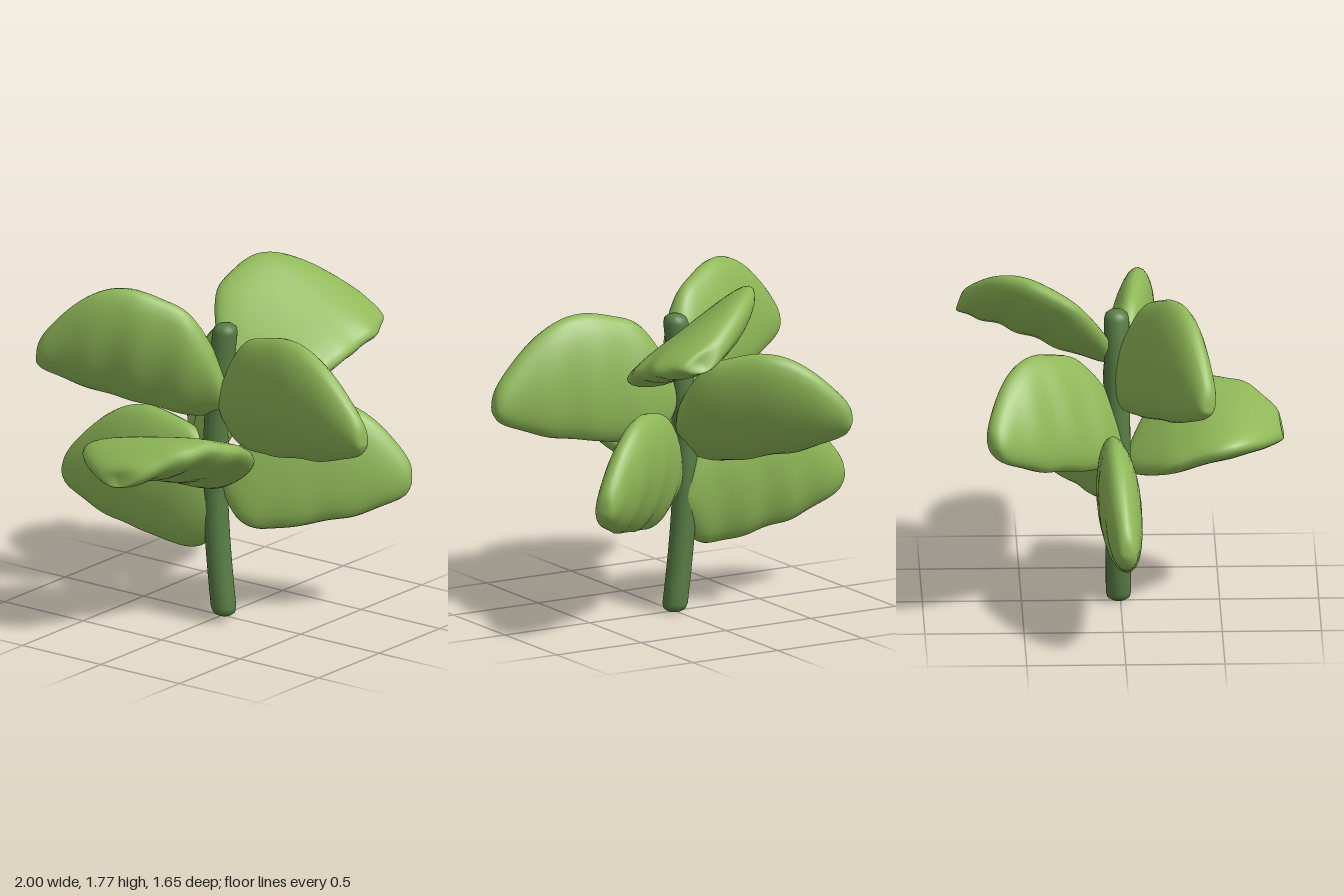
import * as THREE from 'three';
import { mergeVertices } from 'three/addons/utils/BufferGeometryUtils.js';

const V = (a) => new THREE.Vector3(...a);
const spline = (pts) => new THREE.SplineCurve(pts.map((p) => new THREE.Vector2(...p)));

// Shared leaf outline: distance along the leaf, share of the full half-width
const broadEdge = spline([[0, 0], [0.02, 0.28], [0.1, 0.62], [0.2, 0.86], [0.33, 0.95], [0.48, 1],
  [0.62, 0.94], [0.76, 0.76], [0.89, 0.49], [0.98, 0.23], [1, 0]]);
const wavyEdge = spline([[0, 0], [0.02, 0.35], [0.08, 0.76], [0.17, 0.97], [0.3, 0.98], [0.43, 0.92],
  [0.56, 0.82], [0.7, 0.74], [0.83, 0.54], [0.96, 0.3], [1, 0]]);

// Thick leaf, rippled on one face (side is 1 or -1): base and tip points,
// offsets to the broad and wavy edges, upward bow
function leafGeometry({ base, tip, broad, wavy, bow = 0, side = -1 }) {
  const start = V(base), along = V(tip).sub(start), T = V(broad), B = V(wavy);
  const normal = along.clone().cross(T.clone().sub(B)).normalize();
  const rings = 44, sides = 28;
  const position = [], index = [];
  for (let i = 0; i <= rings; i++) {
    const t = i / rings;
    const e1 = broadEdge.getPoint(t), e2 = wavyEdge.getPoint(t);
    const a = T.clone().multiplyScalar(Math.max(e1.y, 0));
    const b = B.clone().multiplyScalar(Math.max(e2.y, 0));
    const mid = a.clone().add(b).multiplyScalar(0.5);
    const half = a.clone().sub(b).multiplyScalar(0.5);
    const thick = 0.108 * Math.pow(Math.max(Math.sin(Math.PI * t), 0), 0.65);
    const fold = -0.7 * mid.dot(normal);
    for (let j = 0; j < sides; j++) {
      const angle = (j / sides) * Math.PI * 2;
      const c = Math.cos(angle), s = Math.sin(angle);
      const u = ((1 + c) * e1.x + (1 - c) * e2.x) / 2;
      const ripple = 0.007 * Math.sin(u * 24 + c * 1.5) * Math.sin(Math.PI * t) * (0.5 - 0.45 * c) * (1 + 0.8 * side * s);
      const p = start.clone().addScaledVector(along, u).add(mid).addScaledVector(half, c)
        .addScaledVector(normal, fold * (1 - c * c) + thick * s + ripple);
      p.y += bow * Math.sin(Math.PI * u);
      position.push(p.x, p.y, p.z);
      if (i < rings) {
        const k = i * sides + j, m = i * sides + ((j + 1) % sides);
        index.push(k, m, k + sides, m, m + sides, k + sides);
      }
    }
  }
  const geometry = new THREE.BufferGeometry();
  geometry.setAttribute('position', new THREE.Float32BufferAttribute(position, 3));
  geometry.setIndex(index);
  const merged = mergeVertices(geometry, 1e-5);
  merged.computeVertexNormals();
  return merged;
}

// Bent stem with rounded ends
function stemGeometry() {
  const profile = [[0, 0], [0.035, 0.004], [0.056, 0.018], [0.064, 0.045]];
  for (let i = 1; i <= 16; i++) profile.push([0.064, 0.045 + 1.455 * (i / 16)]);
  profile.push([0.056, 1.527], [0.035, 1.543], [0, 1.547]);
  const geometry = new THREE.LatheGeometry(profile.map((p) => new THREE.Vector2(...p)), 28);
  const pos = geometry.attributes.position;
  for (let i = 0; i < pos.count; i++) {
    const s = pos.getY(i) / 1.5;
    pos.setX(i, pos.getX(i) + 0.007 - 0.004 * s - 0.06 * Math.sin(Math.PI * s));
    pos.setZ(i, pos.getZ(i) - 0.01 - 0.01 * s);
  }
  geometry.computeVertexNormals();
  return geometry;
}

export function createModel() {
  const model = new THREE.Group();
  model.name = 'leafyPlant';
  const leafGreen = new THREE.MeshStandardMaterial({ color: 0x8fb858 });
  leafGreen.name = 'leafGreen';
  const stemGreen = new THREE.MeshStandardMaterial({ color: 0x587d45 });
  stemGreen.name = 'stemGreen';

  const add = (name, geometry, material) => {
    const mesh = new THREE.Mesh(geometry, material);
    mesh.name = name;
    model.add(mesh);
  };
  add('stem', stemGeometry(), stemGreen);

  // Leaves spiral up the stem
  const leaves = {
    lowerRightLeaf: { base: [-0.01, 0.56, -0.02], tip: [-1, 0.57, 0.01], broad: [0, 0.44, -0.04], wavy: [0, -0.24, 0.02], side: 1 },
    lowerBackLeftLeaf: { base: [0, 0.68, -0.01], tip: [0.77, 0.71, -0.57], broad: [0.01, 0.44, -0.06], wavy: [0.04, -0.21, 0.05] },
    frontLeaf: { base: [0, 0.72, 0.02], tip: [-0.04, 0.915, 0.81], broad: [-0.43, 0.01, 0.08], wavy: [0.39, 0.17, 0.07], bow: 0.1, side: 1 },
    middleBackRightLeaf: { base: [0, 0.97, -0.02], tip: [-0.65, 1.03, -0.66], broad: [0.08, 0.39, -0.12], wavy: [-0.06, -0.21, 0.08] },
    middleLeftLeaf: { base: [0, 1.1, -0.01], tip: [1, 1.13, 0.12], broad: [0, 0.47, 0.04], wavy: [0, -0.2, -0.03] },
    upperFrontRightLeaf: { base: [0.03, 1.16, 0], tip: [-0.86, 1.29, 0.42], broad: [0.03, 0.5, 0.06], wavy: [0, -0.14, -0.04] },
    upperBackLeaf: { base: [0.03, 1.28, -0.03], tip: [0.32, 1.48, -0.8], broad: [-0.35, 0.33, -0.06], wavy: [0.35, -0.05, -0.08], bow: 0.04 },
  };
  for (const [name, shape] of Object.entries(leaves)) add(name, leafGeometry(shape), leafGreen);
  return model;
}
